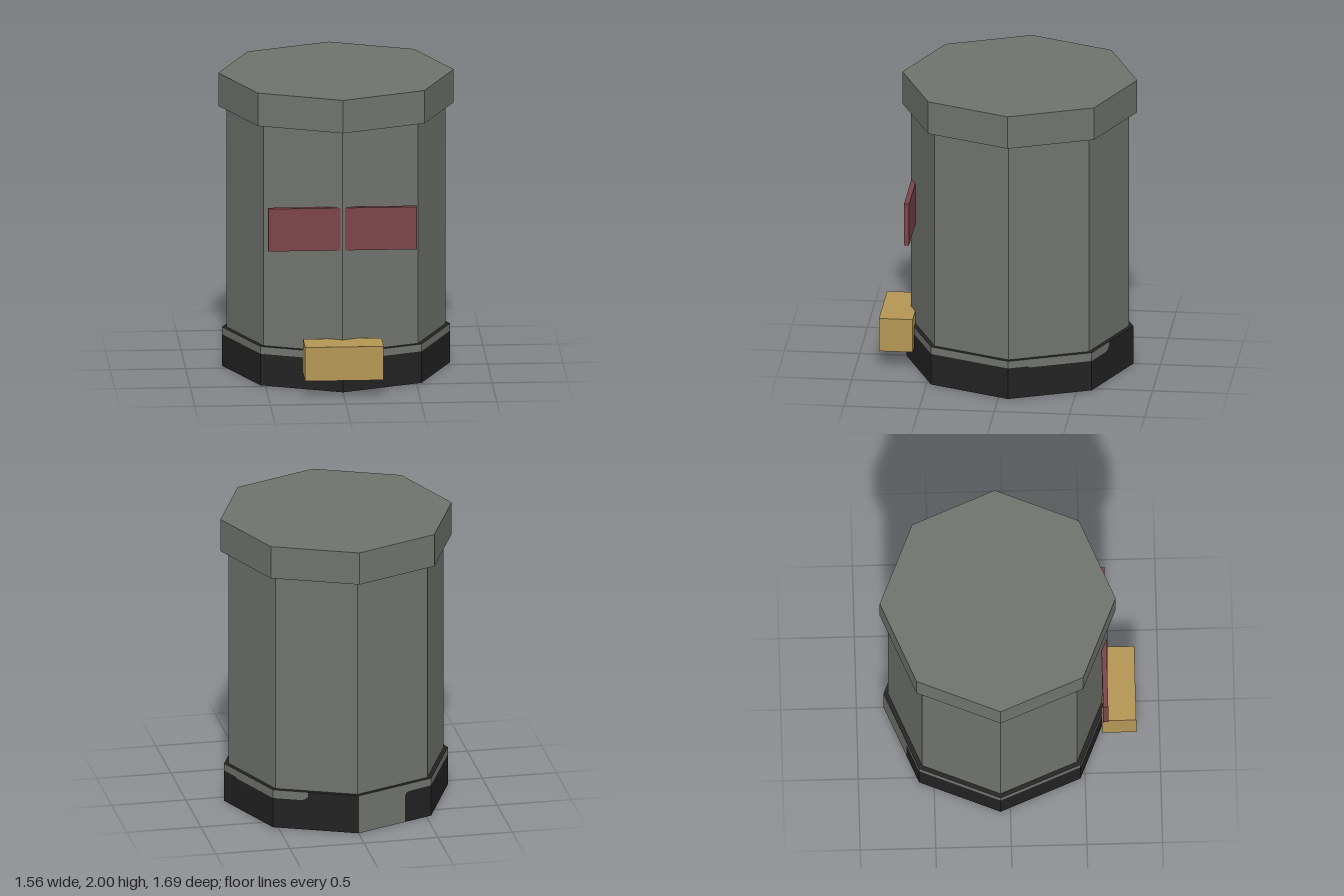
import * as THREE from 'three';

const SIDES = 8, CENTRE_Z = -0.065, BASE_R = 0.755, BASE_H = 0.265;

function material(name, color) {
  const m = new THREE.MeshStandardMaterial({ color });
  m.name = name;
  return m;
}

export function createModel() {
  const grey = material('stone grey', 0x70736d);
  const black = material('soot black', 0x222222);
  const red = material('dull red', 0x7a4348);
  const gold = material('brass', 0xb49654);

  const model = new THREE.Group();
  model.name = 'octagonalCanister';

  function add(name, geometry, mat, x = 0, y = 0, z = 0) {
    const mesh = new THREE.Mesh(geometry, mat);
    mesh.name = name;
    mesh.position.set(x, y, z);
    model.add(mesh);
    return mesh;
  }

  // Octagonal prism with flat faces and a corner pointing forward
  function prism(name, r, y0, y1, mat) {
    const g = new THREE.CylinderGeometry(r, r, y1 - y0, SIDES).toNonIndexed();
    g.computeVertexNormals();
    add(name, g, mat, 0, (y0 + y1) / 2, CENTRE_Z);
  }
  prism('body', 0.725, 0.2, 1.79, grey);
  prism('cap', 0.78, 1.775, 2, grey);

  // Base walls: each side lists [distance along side, height of the black paint]
  const plain = [[0, 0.215], [1, 0.215]];
  const paint = Array.from({ length: SIDES }, () => plain);
  paint[2] = [[0, 0.215], [0.24, 0.215], [0.26, 0.207], [1, 0.207]];
  paint[3] = [[0, 0.207], [0.34, 0.207], [0.39, 0.22], [0.41, 0.235], [0.41, BASE_H], [1, BASE_H]];
  paint[4] = [[0, 0], [0.64, 0], [0.64, 0.185], [0.66, 0.205], [0.7, 0.212], [1, 0.215]];

  const blackPos = [], greyPos = [];
  const corner = (k) => {
    const a = (k / SIDES) * Math.PI * 2;
    return new THREE.Vector3(Math.sin(a) * BASE_R, 0, Math.cos(a) * BASE_R);
  };
  function quad(out, p, q, lowP, lowQ, highP, highQ) {
    const a = [p.x, lowP, p.z], b = [q.x, lowQ, q.z];
    const c = [q.x, highQ, q.z], d = [p.x, highP, p.z];
    out.push(...a, ...b, ...c, ...a, ...c, ...d);
  }
  paint.forEach((profile, k) => {
    const start = corner(k), end = corner(k + 1);
    for (let i = 0; i < profile.length - 1; i++) {
      const [t0, h0] = profile[i], [t1, h1] = profile[i + 1];
      if (t1 === t0) continue;
      const p = start.clone().lerp(end, t0), q = start.clone().lerp(end, t1);
      if (h0 + h1 > 0) quad(blackPos, p, q, 0, 0, h0, h1);
      if (h0 + h1 < 2 * BASE_H) quad(greyPos, p, q, h0, h1, BASE_H, BASE_H);
    }
  });
  function wall(name, positions, mat) {
    const g = new THREE.BufferGeometry();
    g.setAttribute('position', new THREE.Float32BufferAttribute(positions, 3));
    g.computeVertexNormals();
    add(name, g, mat, 0, 0, CENTRE_Z);
  }
  wall('baseLowerBand', blackPos, black);
  wall('baseUpperBand', greyPos, grey);

  // Base ledge and underside
  const disc = new THREE.CircleGeometry(BASE_R, SIDES);
  add('baseLedge', disc, black, 0, BASE_H, CENTRE_Z).rotation.x = -Math.PI / 2;
  add('baseUnderside', disc, black, 0, 0, CENTRE_Z).rotation.x = Math.PI / 2;

  // Front band, split in two by the body's front corner
  add('frontBand', new THREE.BoxGeometry(0.985, 0.29, 0.034), red, 0, 1.105, 0.637);

  // Block at the foot of the front corner
  add('frontBlock', new THREE.BoxGeometry(0.52, 0.23, 0.225), gold, 0, 0.235, 0.7325);

  return model;
}
